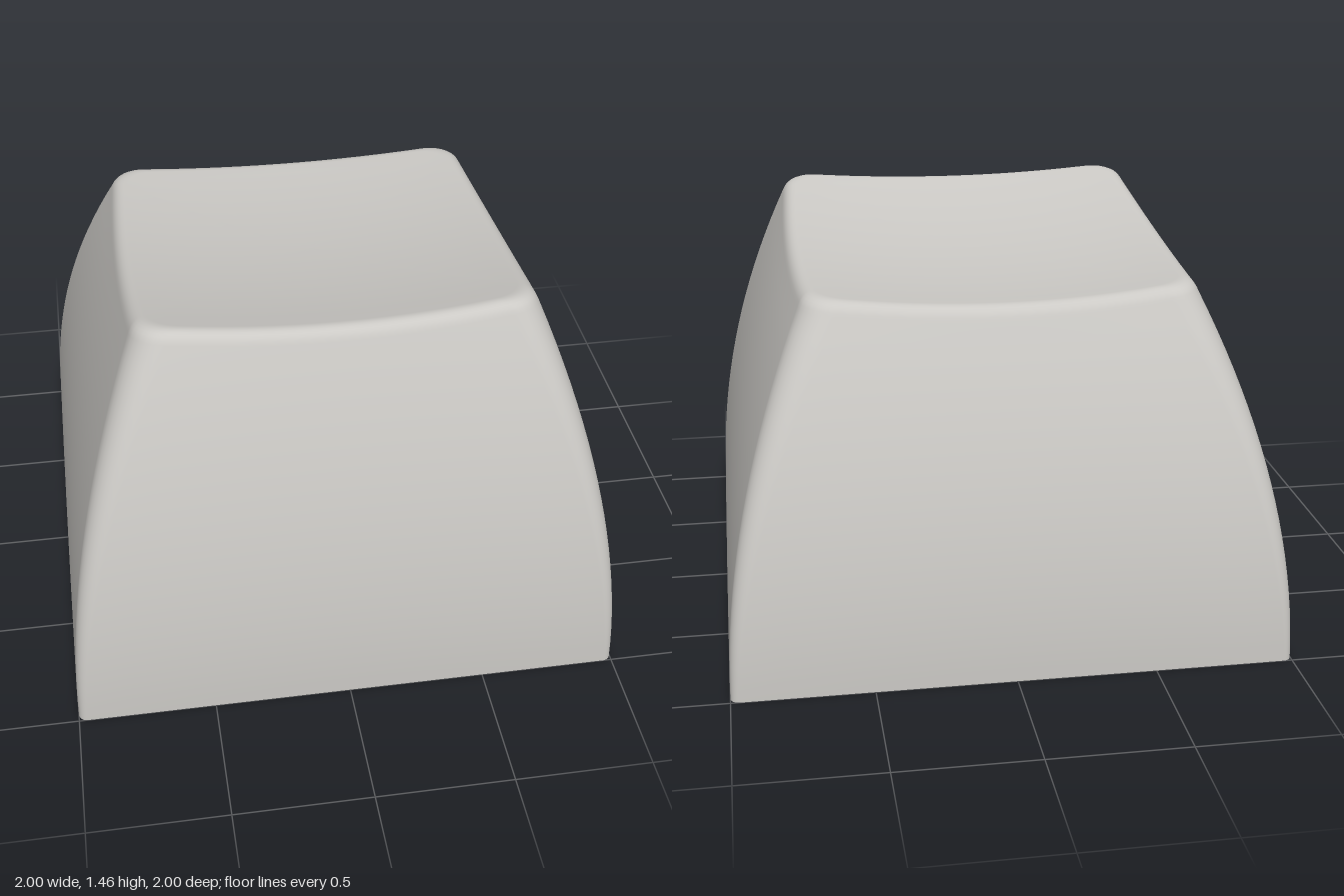
import * as THREE from 'three';

const SIDE = 14, ARC = 8;

// Dished top: shallow bowl that rises toward the front
const topHeight = (x, z) => 1.307 + 0.105 * x * x + 0.108 * z + 0.119 * z * z;

// Rounded square with slightly bulging sides, as [x, z] points
function outline(half, radius, bulge) {
  const points = [];
  const c = half - radius;
  for (let s = 0; s < 4; s++) {
    const local = [];
    for (let k = 0; k < SIDE; k++) {
      const u = -1 + (2 * k) / SIDE;
      local.push([u * c, half + bulge * (1 - u * u)]);
    }
    for (let k = 0; k < ARC; k++) {
      const a = (k / ARC) * Math.PI / 2;
      local.push([c + radius * Math.sin(a), c + radius * Math.cos(a)]);
    }
    for (let [x, z] of local) {
      for (let r = 0; r < s; r++) [x, z] = [z, -x];
      points.push([x, z]);
    }
  }
  return points;
}

const wallOutline = t => outline(1 - 0.295 * t * t, 0.03 + 0.09 * t, 0.02 * t);

// Closed rings of points skinned from the bottom up
function skin(rings) {
  const n = rings[0].length;
  const index = [];
  for (let j = 0; j < rings.length - 1; j++) {
    for (let i = 0; i < n; i++) {
      const a = j * n + i, b = j * n + (i + 1) % n;
      index.push(a, b, b + n, a, b + n, a + n);
    }
  }
  const geometry = new THREE.BufferGeometry();
  geometry.setAttribute('position', new THREE.Float32BufferAttribute(rings.flat(2), 3));
  geometry.setIndex(index);
  geometry.computeVertexNormals();
  return geometry;
}

function shellGeometry() {
  const rings = [];
  const rim = wallOutline(1);
  const rimY = rim.map(([x, z]) => topHeight(x, z) - 0.055);

  // Curved walls
  for (let j = 0; j <= 20; j++) {
    const t = j / 20;
    rings.push(wallOutline(t).map(([x, z], i) => [x, t * rimY[i], z]));
  }
  // Rounded rim
  const inset = 0.91;
  for (let j = 1; j <= 7; j++) {
    const t = j / 7;
    rings.push(rim.map(([x, z], i) => {
      const w0 = (1 - t) ** 2, w1 = 2 * t * (1 - t), w2 = t * t;
      const k = w0 + w1 * 0.975 + w2 * inset;
      const y = w0 * rimY[i] + w1 * topHeight(x * 0.975, z * 0.975)
        + w2 * topHeight(x * inset, z * inset);
      return [x * k, y, z * k];
    }));
  }
  // Dish
  for (let j = 1; j <= 12; j++) {
    const k = inset * (1 - j / 12);
    rings.push(rim.map(([x, z]) => [x * k, topHeight(x * k, z * k), z * k]));
  }
  return skin(rings);
}

const polygon = points => points.map(([x, y]) => new THREE.Vector2(x, y));

export function createModel() {
  const group = new THREE.Group();
  const plastic = new THREE.MeshStandardMaterial({ color: 0xcbc9c5 });
  plastic.name = 'warm grey plastic';

  const add = (name, geometry, y = 0) => {
    const mesh = new THREE.Mesh(geometry, plastic);
    mesh.name = name;
    mesh.position.y = y;
    group.add(mesh);
  };

  add('outerShell', shellGeometry());

  // Flat bottom edge around the opening
  const inner = 0.88, ceilingHalf = 0.64, ceilingY = 1.1;
  const edge = new THREE.Shape(polygon(wallOutline(0)));
  edge.holes.push(new THREE.Path(polygon(
    [[-inner, -inner], [inner, -inner], [inner, inner], [-inner, inner]])));
  add('bottomEdge', new THREE.ShapeGeometry(edge).rotateX(Math.PI / 2));

  // Hollow inside: tapered walls facing inward, and a ceiling
  const walls = new THREE.CylinderGeometry(
    ceilingHalf * Math.SQRT2, inner * Math.SQRT2, ceilingY, 4, 1, true)
    .rotateY(Math.PI / 4).toNonIndexed();
  const p = walls.attributes.position;
  for (let i = 0; i < p.count; i++) p.setX(i, -p.getX(i));
  walls.computeVertexNormals();
  add('innerWalls', walls, ceilingY / 2);
  add('innerCeiling',
    new THREE.PlaneGeometry(2 * ceilingHalf, 2 * ceilingHalf).rotateX(Math.PI / 2), ceilingY);

  // Stem with a cross-shaped socket
  const radius = 0.295, socketDepth = 0.5, L = 0.22, w = 0.07;
  const socket = new THREE.Shape().absarc(0, 0, radius, 0, Math.PI * 2, false);
  socket.holes.push(new THREE.Path(polygon([
    [w, L], [w, w], [L, w], [L, -w], [w, -w], [w, -L],
    [-w, -L], [-w, -w], [-L, -w], [-L, w], [-w, w], [-w, L]])));
  add('stemSocket', new THREE.ExtrudeGeometry(socket, {
    depth: socketDepth, bevelEnabled: false, curveSegments: 32,
  }).rotateX(Math.PI / 2), socketDepth);
  const upper = ceilingY - socketDepth;
  add('stemUpper', new THREE.CylinderGeometry(radius, radius, upper, 32),
    socketDepth + upper / 2);

  return group;
}
